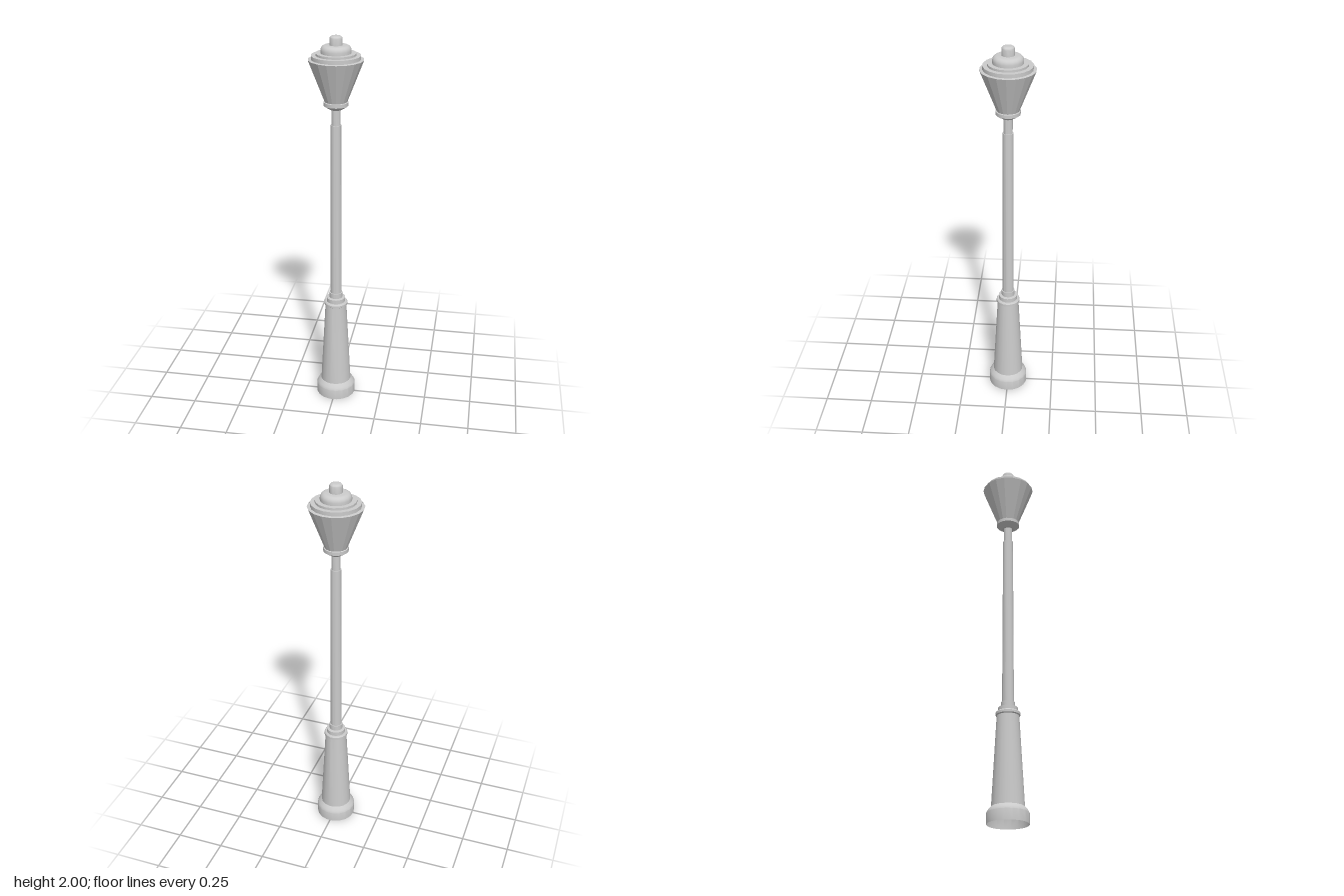
import * as THREE from 'three';
import { toCreasedNormals } from 'three/addons/utils/BufferGeometryUtils.js';

const SIDES = 18;
const material = new THREE.MeshStandardMaterial({ color: 0xcccccc, side: THREE.DoubleSide });

// Turned part from a [radius, height] profile, bottom to top, with a corner on the x axis
function turned(name, profile, crease = 0.5) {
  const points = profile.map(([r, y]) => new THREE.Vector2(r, y));
  const geometry = new THREE.LatheGeometry(points, SIDES, Math.PI / 2);
  const mesh = new THREE.Mesh(toCreasedNormals(geometry, crease), material);
  mesh.name = name;
  return mesh;
}

// Quarter-round shoulder that ends a profile, closed at the axis
function roundedTop(radius, top, round, steps = 5) {
  const points = [];
  for (let i = 0; i <= steps; i++) {
    const a = (i / steps) * Math.PI / 2;
    points.push([radius - round + round * Math.cos(a), top - round + round * Math.sin(a)]);
  }
  points.push([0, top]);
  return points;
}

export function createModel() {
  const lamp = new THREE.Group();
  lamp.name = 'streetLamp';

  lamp.add(
    // Hollow foot, open underneath
    turned('foot', [[0.105, 0], [0.105, 0.055], [0.099, 0.068], [0.082, 0.085]]),
    turned('pedestal', [[0.082, 0.085], [0.057, 0.548]]),
    // Stepped collar around the bottom of the pole
    turned('collar', [
      [0.057, 0.546], [0.063, 0.55], [0.063, 0.562], [0.058, 0.568],
      [0.05, 0.568], [0.05, 0.59], [0.035, 0.592], [0.035, 0.62], [0.028, 0.62],
    ]),
    turned('pole', [[0.03, 0.62], [0.027, 1.555], [0.023, 1.555]]),
    turned('neck', [[0.023, 1.555], [0.023, 1.636]]),
    // Cup that carries the lantern
    turned('lanternCup', [
      [0.023, 1.636], [0.032, 1.636], [0.062, 1.656], [0.062, 1.674], [0.056, 1.676],
    ]),
    // Faceted lantern
    turned('lantern', [[0.056, 1.674], [0.138, 1.885]], 0.1),
    // Stepped roof with a rounded crown and finial
    turned('roof', [
      [0.138, 1.885], [0.123, 1.887], [0.123, 1.906], [0.1, 1.906], [0.1, 1.917], [0.07, 1.917],
    ]),
    turned('crown', [[0.076, 1.917], ...roundedTop(0.076, 1.955, 0.025)]),
    turned('finial', [[0.032, 1.95], ...roundedTop(0.032, 2, 0.015)]),
  );
  return lamp;
}
